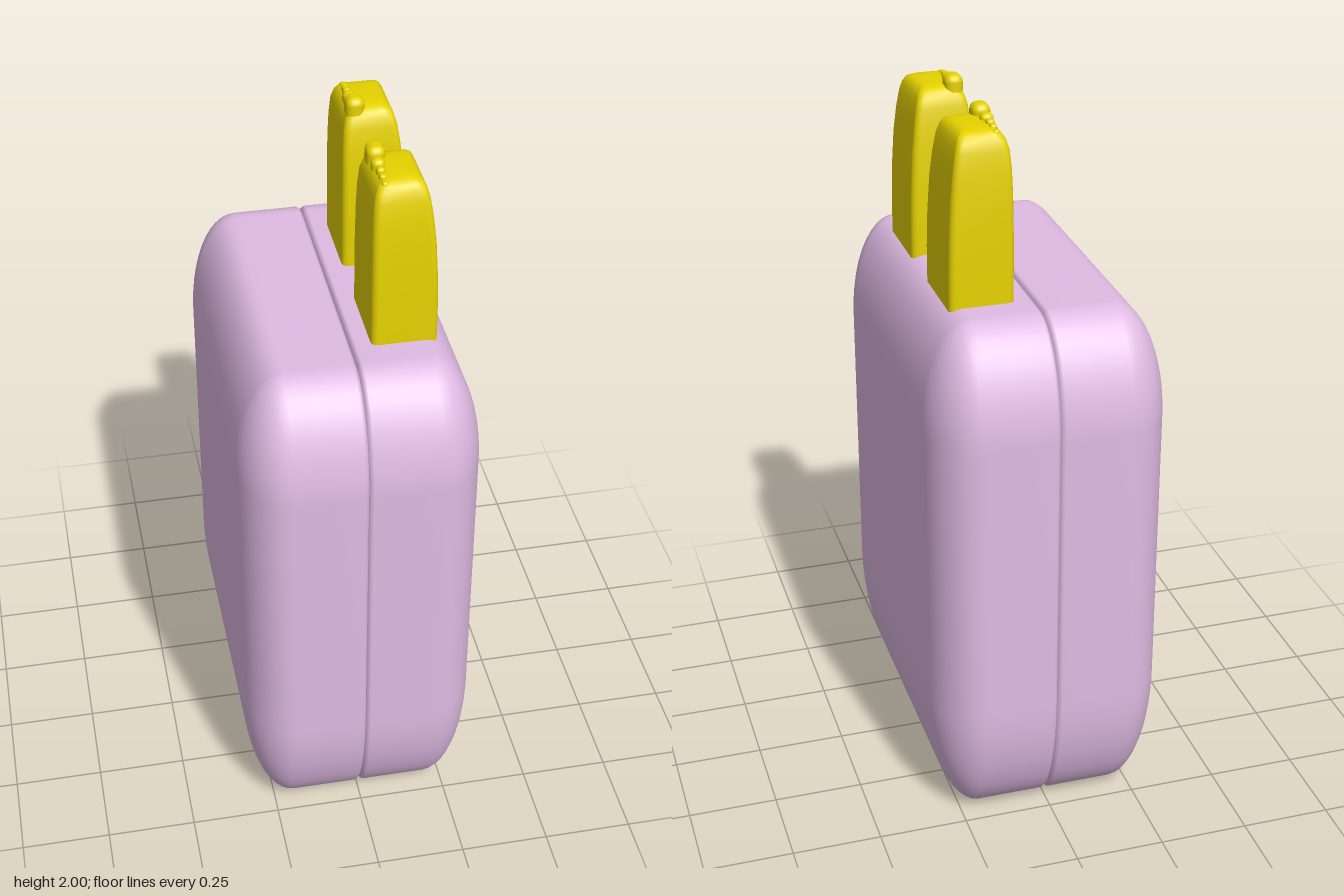
import * as THREE from 'three';
import { mergeVertices } from 'three/addons/utils/BufferGeometryUtils.js';
import { RoundedBoxGeometry } from 'three/addons/geometries/RoundedBoxGeometry.js';

const lilac = new THREE.MeshStandardMaterial({ color: 0xe0bbe4, side: THREE.DoubleSide });
const yellow = new THREE.MeshStandardMaterial({ color: 0xe6d200, side: THREE.DoubleSide });

// Counter-clockwise rounded outline around a core rectangle [u0,u1] x [v0,v1];
// lo and hi are the corner radii along u at each end, rv the radius along v.
function outline(u0, u1, v0, v1, lo, hi, rv, steps = 10) {
  const points = [];
  for (let q = 0; q < 4; q++) {
    const high = q === 0 || q === 3;
    for (let i = 0; i <= steps; i++) {
      const a = (q + i / steps) * Math.PI / 2;
      points.push([
        (high ? u1 : u0) + (high ? hi : lo) * Math.cos(a),
        (q < 2 ? v1 : v0) + rv * Math.sin(a),
      ]);
    }
  }
  return points;
}

// Skin a list of rings of [x, y, z] and close the last one with a fan
function loft(rings) {
  const n = rings[0].length, position = rings.flat(2), index = [];
  const last = (rings.length - 1) * n, centre = rings.length * n;
  for (let r = 0; r < rings.length - 1; r++) {
    for (let i = 0; i < n; i++) {
      const a = r * n + i, b = r * n + (i + 1) % n;
      index.push(a, b, b + n, a, b + n, a + n);
    }
  }
  for (let i = 0; i < n; i++) index.push(last + i, last + (i + 1) % n, centre);
  const top = rings[rings.length - 1];
  for (let c = 0; c < 3; c++) position.push(top.reduce((s, p) => s + p[c], 0) / n);
  let g = new THREE.BufferGeometry();
  g.setAttribute('position', new THREE.Float32BufferAttribute(position, 3));
  g.setIndex(index);
  g = mergeVertices(g, 1e-5);
  g.computeVertexNormals();
  return g;
}

// One half of the body: small lip at the seam, straight wall, soft outer edge
function bodyHalf() {
  const stations = [[0, 0.94], [0.004, 0.98], [0.012, 1], [0.1, 1]];
  for (let i = 0; i <= 12; i++) {
    const t = i / 12 * Math.PI / 2;
    stations.push([0.195 + 0.133 * Math.sin(t), i === 12 ? 0 : Math.cos(t)]);
  }
  return loft(stations.map(([x, k]) =>
    outline(0.39, 1.2, -0.38, 0.38, 0.385 * k, 0.31 * k, 0.18 * k).map(([y, z]) => [x, y, z])));
}

// Foot block: upright on the body, narrowing towards a rounded top
function footBlock() {
  // height, inner x, outer x, half depth
  const stations = [
    [1.49, 0.053, 0.23, 0.122], [1.6, 0.053, 0.23, 0.122], [1.7, 0.053, 0.227, 0.121],
    [1.8, 0.054, 0.221, 0.118], [1.87, 0.056, 0.213, 0.113], [1.92, 0.06, 0.205, 0.106],
    [1.945, 0.067, 0.198, 0.098], [1.96, 0.077, 0.19, 0.088], [1.968, 0.09, 0.178, 0.072],
    [1.971, 0.105, 0.165, 0.05],
  ];
  const r = 0.018;
  return loft(stations.map(([y, x0, x1, d]) =>
    outline(-d + r, d - r, x0 + r, x1 - r, r, r, r, 5).map(([z, x]) => [x, y, z])));
}

// Toes, big to small: x, y, z offset from the foot centre, width, height, depth
const TOES = [
  [0.094, 1.967, -0.062, 0.05, 0.066, 0.06],
  [0.091, 1.966, -0.013, 0.036, 0.042, 0.038],
  [0.091, 1.966, 0.021, 0.023, 0.03, 0.027],
  [0.091, 1.963, 0.047, 0.02, 0.026, 0.024],
  [0.091, 1.957, 0.072, 0.018, 0.024, 0.022],
];

export function createModel() {
  const model = new THREE.Group();
  const add = (parent, name, geometry, material) => {
    const mesh = new THREE.Mesh(geometry, material);
    mesh.name = name;
    parent.add(mesh);
    return mesh;
  };

  // Body in two mirrored halves meeting at the seam
  const half = bodyHalf();
  add(model, 'bodyLeftHalf', half, lilac);
  add(model, 'bodyRightHalf', half, lilac).rotation.y = Math.PI;

  // Two feet with the big toes facing each other
  const block = footBlock();
  for (const [name, z, side] of [['frontFoot', 0.189, 1], ['backFoot', -0.196, -1]]) {
    const foot = new THREE.Group();
    foot.name = name;
    foot.position.z = z;
    add(foot, 'footBlock', block, yellow);
    TOES.forEach(([x, y, dz, w, h, d], i) => {
      const toe = new RoundedBoxGeometry(w, h, d, 4, Math.min(w, h, d) * 0.42);
      add(foot, `toe${i + 1}`, toe, yellow).position.set(x, y, dz * side);
    });
    model.add(foot);
  }
  return model;
}
